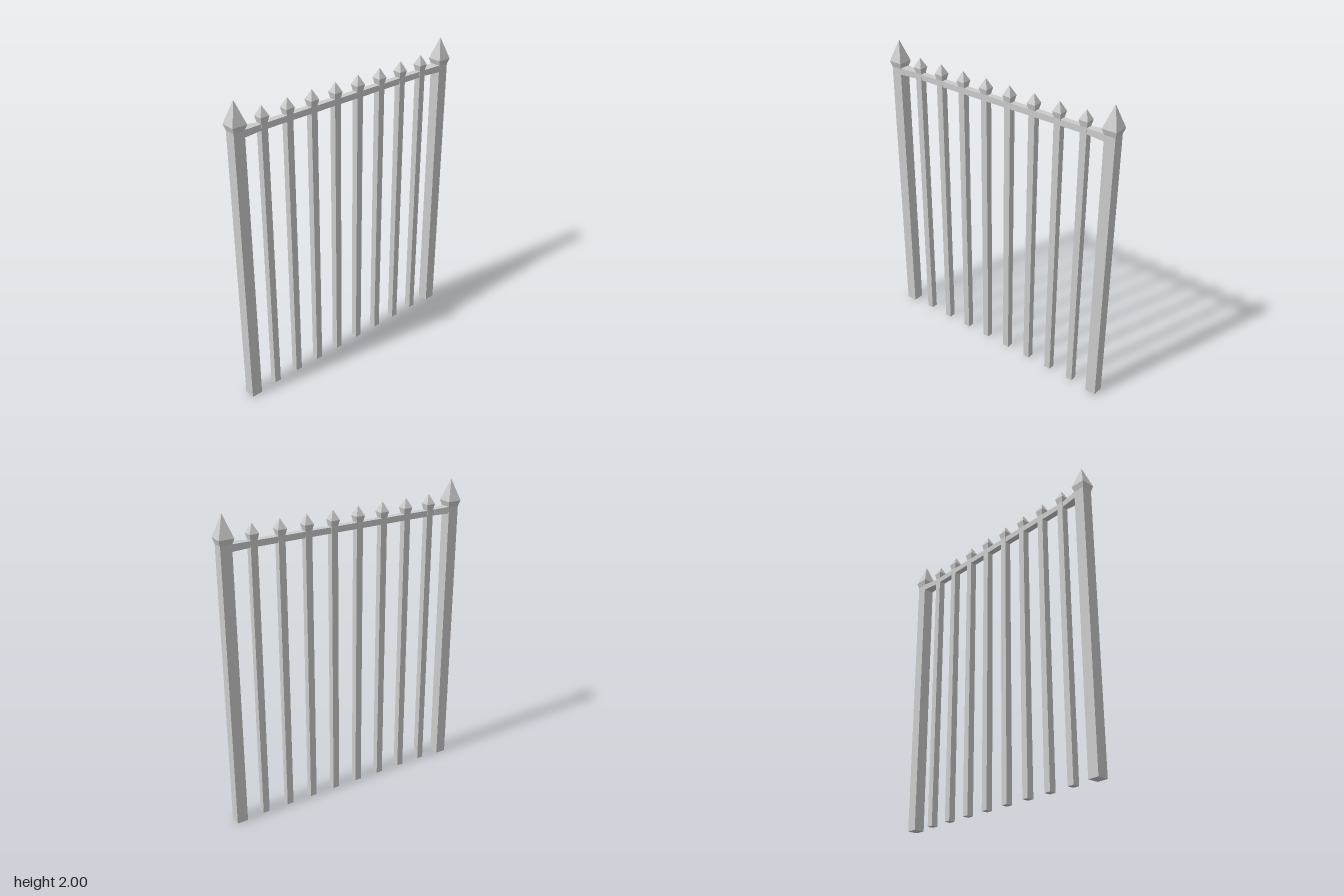
import * as THREE from 'three';

const material = new THREE.MeshStandardMaterial({ color: 0xcccccc, flatShading: true });

// Square bar with a flared, pointed cap, as a four-sided lathe; sizes are half widths
function spikedBar(name, half, capHalf, apex, z) {
  const profile = [[0, 0], [half, 0], [half, 1.825], [capHalf, 1.862], [0, apex]]
    .map(([r, y]) => new THREE.Vector2(r * Math.SQRT2, y));
  const mesh = new THREE.Mesh(new THREE.LatheGeometry(profile, 4, Math.PI / 4), material);
  mesh.name = name;
  mesh.position.z = z;
  return mesh;
}

// Top rail: a box whose two ends widen to meet the posts
function topRail() {
  const geometry = new THREE.BoxGeometry(1, 1, 1, 1, 1, 3);
  const p = geometry.attributes.position;
  for (let i = 0; i < p.count; i++) {
    const atEnd = Math.abs(p.getZ(i)) > 0.4;
    const halfWidth = atEnd ? 0.036 : 0.0205;
    const y = p.getY(i) > 0 ? (atEnd ? 1.829 : 1.823) : 1.785;
    p.setXYZ(i, Math.sign(p.getX(i)) * halfWidth, y, Math.sign(p.getZ(i)) * (atEnd ? 0.77 : 0.655));
  }
  geometry.computeVertexNormals();
  const mesh = new THREE.Mesh(geometry, material);
  mesh.name = 'topRail';
  return mesh;
}

export function createModel() {
  const model = new THREE.Group();
  model.name = 'fencePanel';

  // Ten uprights evenly spaced along z: heavy end posts, slim pickets between
  const count = 10;
  for (let i = 0; i < count; i++) {
    const z = -0.8 + (1.6 * i) / (count - 1);
    const isPost = i === 0 || i === count - 1;
    model.add(isPost
      ? spikedBar('endPost', 0.036, 0.047, 2, z)
      : spikedBar('picket', 0.022, 0.03, 1.923, z));
  }

  model.add(topRail());
  return model;
}
